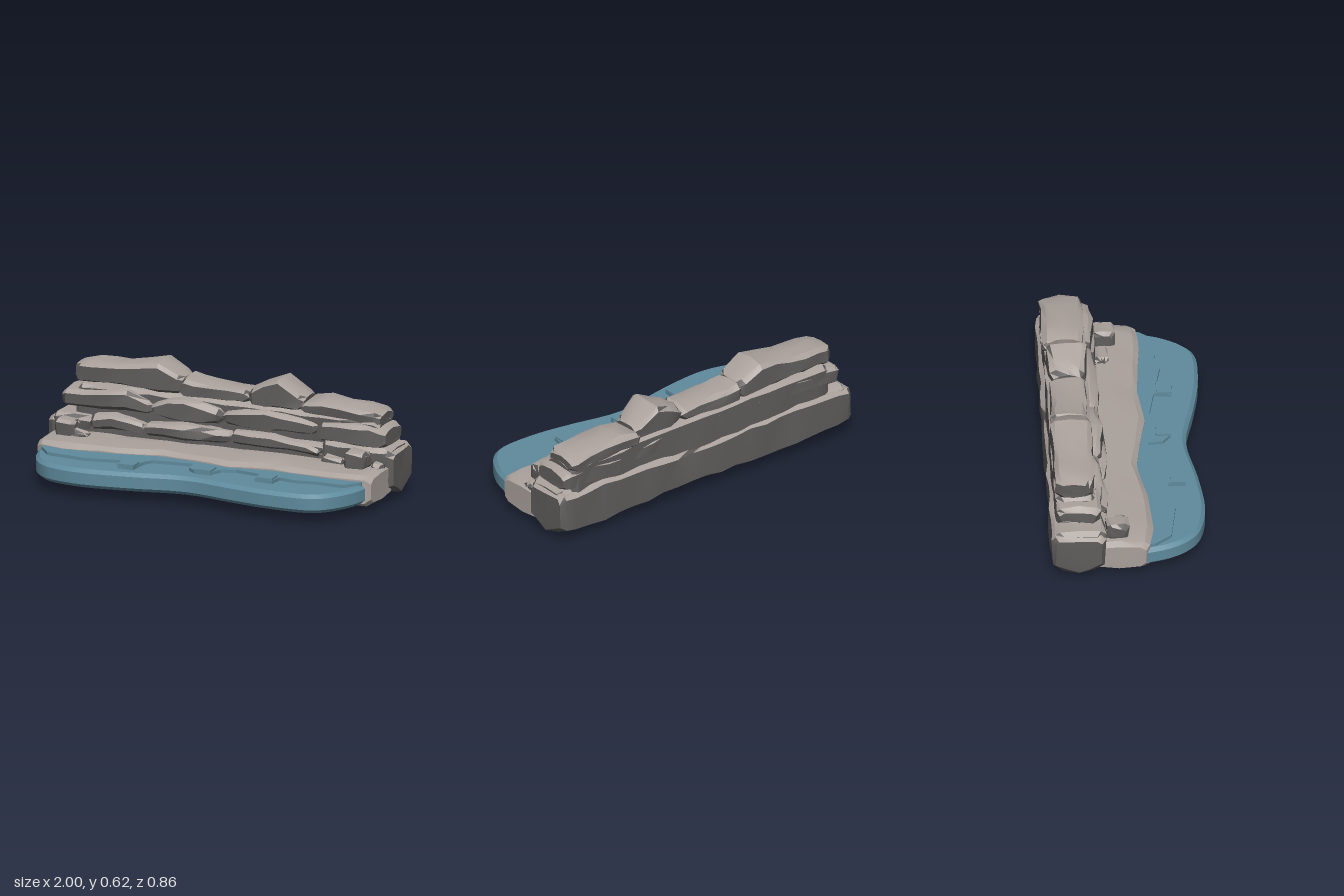
import * as THREE from 'three';
import { toCreasedNormals } from 'three/addons/utils/BufferGeometryUtils.js';

const paleStone = new THREE.MeshStandardMaterial({ color: 0xaaa19c });
const darkStone = new THREE.MeshStandardMaterial({ color: 0x5f5d5c });
const waterBlue = new THREE.MeshStandardMaterial({ color: 0x5f8b9d });

let seed = 7;
const rand = () => {
  seed = (seed * 16807) % 2147483647;
  return seed / 2147483647 - 0.5;
};
const mix = (a, b, t) => a.map((v, i) => v + (b[i] - v) * t);

// Chamfered rock lofted along x. Stations: [x, bottom, top, zBack, zFront].
// Upward faces get the pale stone, all others the side material.
function rock(name, stations, { c = 0.025, low = c, rough = 0.014, end = 0.03, side = darkStone } = {}) {
  const rows = [];
  stations.forEach((s, i) => {
    if (i === 0) return rows.push(s);
    const prev = stations[i - 1];
    const n = Math.max(1, Math.round((s[0] - prev[0]) / 0.11));
    for (let k = 1; k <= n; k++) rows.push(mix(prev, s, k / n));
  });
  // bevelled ends
  const inset = (s, d) => [s[0] + d, s[1], s[2], s[3], s[4]];
  const shrink = (s) => [s[0], s[1] + 0.018, s[2] - 0.018, s[3] + 0.02, s[4] - 0.02];
  const first = rows[0], last = rows[rows.length - 1];
  rows[0] = inset(first, end);
  rows[rows.length - 1] = inset(last, -end);
  rows.unshift(shrink(first));
  rows.push(shrink(last));

  const rings = rows.map(([x, y0, y1, zb, zf]) => {
    const m = (zb + zf) / 2;
    return [
      [zf - low, y0 + low * 0.4], [zf, y0 + low], [zf, y1 - c], [zf - c, y1 - c * 0.25],
      [m, y1], [zb + c, y1 - c * 0.25], [zb, y1 - c], [zb, y0 + low],
      [zb + low, y0 + low * 0.4], [m, y0],
    ].map(([z, y]) => new THREE.Vector3(x + rand() * rough * 0.6, y + rand() * rough, z + rand() * rough));
  });
  const tris = [], N = rings[0].length;
  for (let i = 0; i < rings.length - 1; i++) {
    for (let j = 0; j < N; j++) {
      const k = (j + 1) % N;
      const a = rings[i][j], b = rings[i + 1][j], d = rings[i + 1][k], e = rings[i][k];
      tris.push([a, b, d], [a, d, e]);
    }
  }
  const start = rings[0], stop = rings[rings.length - 1];
  for (let j = 1; j < N - 1; j++) {
    tris.push([start[0], start[j], start[j + 1]], [stop[0], stop[j + 1], stop[j]]);
  }
  const up = (t) => new THREE.Triangle(...t).getNormal(new THREE.Vector3()).y > 0.58;
  const tops = tris.filter(up), rest = tris.filter((t) => !up(t));
  let geo = new THREE.BufferGeometry().setFromPoints([...tops, ...rest].flat());
  geo = toCreasedNormals(geo, 0.5);
  geo.clearGroups();
  geo.addGroup(0, tops.length * 3, 0);
  geo.addGroup(tops.length * 3, rest.length * 3, 1);
  const mesh = new THREE.Mesh(geo, [paleStone, side]);
  mesh.name = name;
  return mesh;
}

// Horizontal slab from a plan outline of [x, z] points
function slab(name, shape, y, height, bevel) {
  const geo = new THREE.ExtrudeGeometry(shape, {
    depth: height - bevel * 2, bevelEnabled: bevel > 0, bevelThickness: bevel,
    bevelSize: bevel, bevelOffset: -bevel, bevelSegments: 1, curveSegments: 8,
  });
  geo.rotateX(-Math.PI / 2).translate(0, y + bevel, 0);
  const mesh = new THREE.Mesh(toCreasedNormals(geo, 0.5), waterBlue);
  mesh.name = name;
  return mesh;
}

const plan = (pts) => pts.map(([x, z]) => new THREE.Vector2(x, -z));

export function createModel() {
  const group = new THREE.Group();
  group.name = 'rockCliffWithPool';

  // Main cliff mass
  group.add(rock('cliffBase', [
    [-1, 0.035, 0.285, -0.425, -0.14], [-0.7, 0.02, 0.29, -0.425, -0.145], [-0.4, 0.005, 0.29, -0.425, -0.14],
    [0, 0.03, 0.28, -0.425, -0.145], [0.4, 0.02, 0.29, -0.425, -0.14], [0.7, 0.005, 0.3, -0.425, -0.14],
    [0.995, 0.025, 0.285, -0.425, -0.14],
  ], { low: 0.06 }));
  group.add(rock('cliffCore', [
    [-0.86, 0.24, 0.46, -0.4, -0.19], [0, 0.24, 0.46, -0.405, -0.18], [0.9, 0.24, 0.44, -0.405, -0.18],
  ]));

  // Shore shelf with a wavy front edge
  group.add(rock('shoreShelf', [
    [-0.965, 0.035, 0.215, -0.22, 0.1], [-0.8, 0.03, 0.215, -0.22, 0.125], [-0.5, 0.025, 0.215, -0.22, 0.11],
    [-0.25, 0.02, 0.215, -0.22, 0.06], [0.15, 0.03, 0.215, -0.22, 0.12], [0.4, 0.025, 0.215, -0.22, 0.09],
    [0.75, 0.025, 0.215, -0.22, 0.12], [0.975, 0.03, 0.215, -0.22, 0.11],
  ], { c: 0.03, rough: 0.008, side: paleStone }));

  // Cliff courses, lowest to highest
  const courses = {
    lowerRock: [
      [[-0.98, 0.2, 0.3, -0.4, -0.135], [-0.74, 0.2, 0.3, -0.4, -0.13]],
      [[-0.76, 0.22, 0.31, -0.38, -0.125], [-0.62, 0.23, 0.325, -0.38, -0.115], [-0.42, 0.22, 0.29, -0.38, -0.13]],
      [[-0.45, 0.22, 0.3, -0.38, -0.11], [-0.2, 0.22, 0.315, -0.38, -0.1], [0.08, 0.22, 0.3, -0.38, -0.13]],
      [[0.05, 0.22, 0.31, -0.38, -0.13], [0.3, 0.22, 0.315, -0.38, -0.12], [0.6, 0.21, 0.27, -0.38, -0.12]],
      [[0.58, 0.21, 0.31, -0.4, -0.13], [0.8, 0.21, 0.315, -0.4, -0.12], [0.975, 0.2, 0.3, -0.4, -0.135]],
    ],
    middleRock: [
      [[-0.935, 0.32, 0.43, -0.4, -0.16], [-0.7, 0.33, 0.44, -0.4, -0.15], [-0.55, 0.34, 0.455, -0.4, -0.145], [-0.4, 0.33, 0.41, -0.4, -0.15]],
      [[-0.41, 0.33, 0.42, -0.4, -0.14], [-0.2, 0.31, 0.45, -0.4, -0.12], [0.01, 0.33, 0.415, -0.4, -0.14]],
      [[0, 0.32, 0.41, -0.4, -0.15], [0.25, 0.31, 0.435, -0.4, -0.14], [0.56, 0.32, 0.4, -0.4, -0.15]],
      [[0.55, 0.29, 0.4, -0.41, -0.15], [0.78, 0.29, 0.42, -0.41, -0.13], [0.95, 0.28, 0.4, -0.4, -0.15]],
    ],
    upperRock: [
      [[-0.875, 0.45, 0.57, -0.4, -0.2], [-0.6, 0.46, 0.585, -0.4, -0.19], [-0.39, 0.45, 0.618, -0.41, -0.185], [-0.25, 0.44, 0.565, -0.4, -0.2]],
      [[-0.27, 0.43, 0.545, -0.4, -0.2], [-0.1, 0.43, 0.525, -0.39, -0.2], [0.14, 0.43, 0.52, -0.39, -0.2]],
      [[0.13, 0.43, 0.535, -0.38, -0.2], [0.31, 0.43, 0.6, -0.4, -0.185], [0.455, 0.43, 0.53, -0.39, -0.2]],
      [[0.43, 0.41, 0.495, -0.41, -0.2], [0.56, 0.4, 0.51, -0.41, -0.19], [0.9, 0.38, 0.48, -0.41, -0.185]],
    ],
  };
  for (const [name, list] of Object.entries(courses)) {
    list.forEach((stations, i) => group.add(rock(name + (i + 1), stations)));
  }

  // Loose boulders on the shelf
  const boulders = [
    [-0.91, -0.8, 0.3, -0.13, -0.01], [-0.81, -0.72, 0.25, -0.09, -0.01],
    [0.77, 0.89, 0.3, -0.13, -0.01], [0.62, 0.75, 0.25, -0.13, -0.05], [0.9, 0.97, 0.24, -0.14, -0.06],
  ];
  boulders.forEach(([x0, x1, top, zb, zf], i) => group.add(rock('boulder' + (i + 1), [
    [x0, 0.19, top, zb, zf], [x1, 0.19, top - 0.01, zb, zf],
  ], { c: 0.015, end: 0.015 })));

  // Pool with a double-lobed rim
  const edge = plan([[-0.955, 0.09], [-0.92, 0.21], [-0.86, 0.31], [-0.76, 0.38], [-0.57, 0.412], [-0.3, 0.385],
    [0, 0.335], [0.28, 0.385], [0.5, 0.42], [0.73, 0.42], [0.84, 0.355], [0.92, 0.22], [0.95, 0.09]]);
  const pool = new THREE.Shape(new THREE.SplineCurve(edge).getPoints(48));
  pool.lineTo(0.9, -0.03);
  pool.lineTo(-0.9, -0.03);
  group.add(slab('poolWater', pool, 0.06, 0.103, 0.02));

  // Raised inner water step with square tabs
  const step = new THREE.Shape(plan([
    [-0.93, 0.02], [-0.92, 0.13], [-0.85, 0.22], [-0.62, 0.25], [-0.45, 0.22], [-0.4, 0.22], [-0.4, 0.31], [-0.31, 0.32],
    [-0.3, 0.2], [-0.27, 0.15], [-0.04, 0.13], [-0.03, 0.21], [0.02, 0.25], [0.11, 0.25], [0.14, 0.18], [0.22, 0.15],
    [0.39, 0.18], [0.375, 0.27], [0.48, 0.28], [0.49, 0.2], [0.6, 0.22], [0.7, 0.2], [0.86, 0.21], [0.93, 0.12], [0.93, 0.02],
  ]));
  group.add(slab('poolStep', step, 0.12, 0.06, 0));
  [[-0.355, 0.275], [0.065, 0.215], [0.43, 0.235]].forEach(([x, z], i) => {
    const tab = new THREE.Mesh(new THREE.BoxGeometry(0.095, 0.05, 0.08), waterBlue);
    tab.position.set(x, 0.165, z);
    tab.name = 'poolTab' + (i + 1);
    group.add(tab);
  });
  return group;
}
